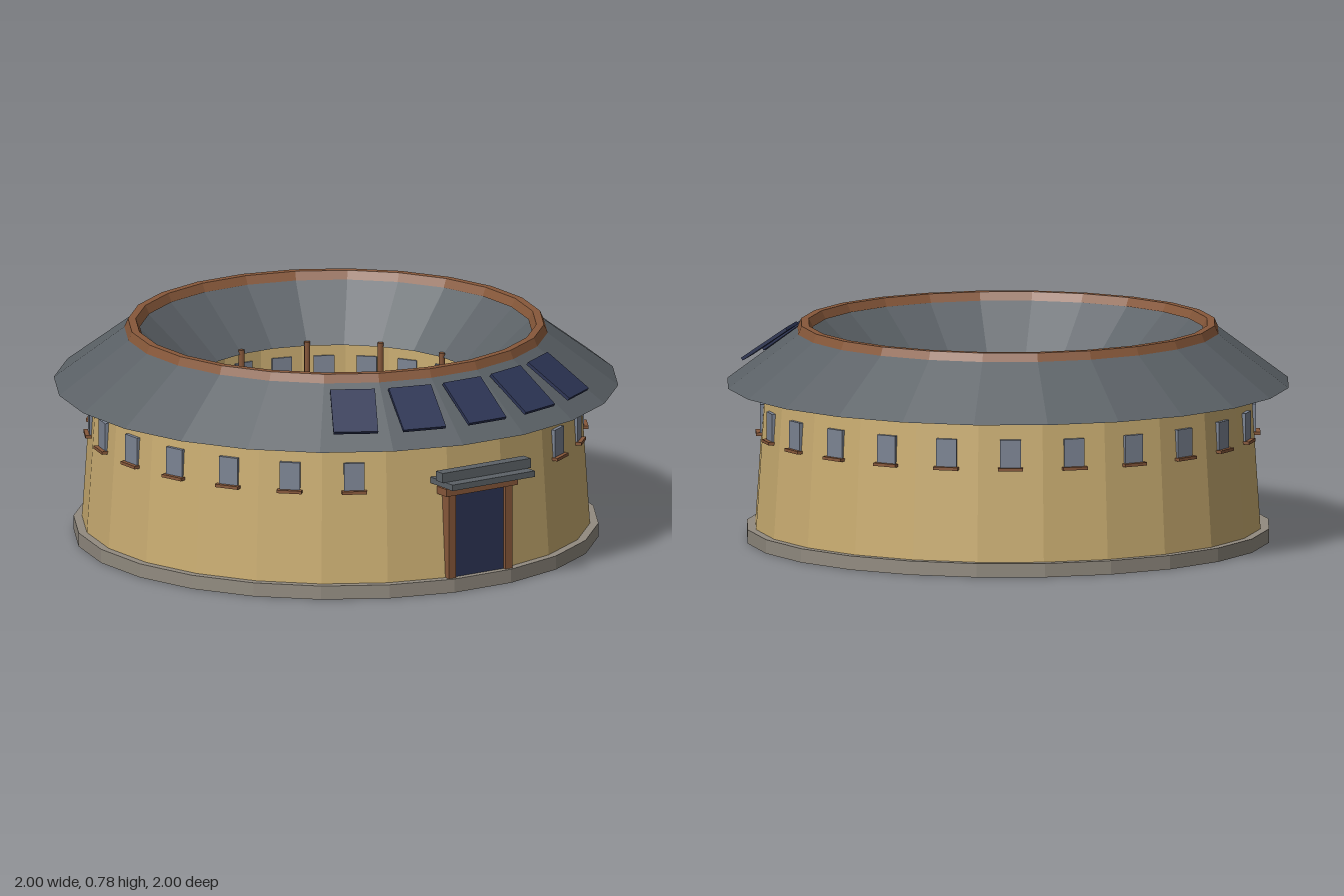
import * as THREE from 'three';

const SIDES = 24;
const STEP = (Math.PI * 2) / SIDES;
const FLAT = 1 / Math.cos(STEP / 2); // turns a flat-to-centre distance into a corner radius

const mat = (name, color) => {
  const m = new THREE.MeshStandardMaterial({ color });
  m.name = name;
  return m;
};

export function createModel() {
  const earth = mat('rammedEarth', 0xcbae72);
  const tile = mat('roofTile', 0x5c6267);
  const wood = mat('wood', 0x87583a);
  const stone = mat('stone', 0x928b80);
  const navy = mat('navy', 0x2c3454);
  const glass = mat('windowGlass', 0x7c8493);

  const model = new THREE.Group();
  model.name = 'roundHouse';

  const add = (name, geometry, material, parent = model) => {
    const mesh = new THREE.Mesh(geometry, material);
    mesh.name = name;
    parent.add(mesh);
    return mesh;
  };

  // Faceted ring from a profile of [flat distance, height], outside going up
  const ring = (name, profile, material) => {
    const pts = profile.map(([r, y]) => new THREE.Vector2(r * FLAT, y));
    const g = new THREE.LatheGeometry(pts, SIDES, STEP / 2).toNonIndexed();
    g.computeVertexNormals();
    return add(name, g, material);
  };

  // Box given by its limits
  const box = (name, x0, x1, y0, y1, z0, z1, material, parent = model) => {
    const mesh = add(name, new THREE.BoxGeometry(x1 - x0, y1 - y0, z1 - z0), material, parent);
    mesh.position.set((x0 + x1) / 2, (y0 + y1) / 2, (z0 + z1) / 2);
    return mesh;
  };

  // Group turned to face outward at an angle from the front
  const spoke = (name, angle) => {
    const g = new THREE.Group();
    g.name = name;
    g.rotation.y = angle;
    model.add(g);
    return g;
  };

  // Plinth with courtyard floor, and the thick ring of rooms
  ring('foundation', [[0, 0], [0.93, 0], [0.93, 0.05], [0, 0.05]], stone);
  ring('ringWall', [[0.9, 0.05], [0.866, 0.57], [0.59, 0.57], [0.59, 0.05]], earth);

  // Gabled ring roof with wooden ridge
  ring('ringRoof', [[0.5, 0.56], [1, 0.56], [0.722, 0.77], [0.5, 0.56]], tile);
  ring('roofRidge', [[0.695, 0.75], [0.75, 0.75], [0.737, 0.78], [0.71, 0.78], [0.695, 0.75]], wood);

  // Courtyard gallery floor
  ring('galleryFloor', [[0.5, 0.288], [0.6, 0.288], [0.6, 0.314], [0.5, 0.314], [0.5, 0.288]], wood);

  // Gallery posts under the inner eave
  for (let i = 0; i < SIDES / 2; i++) {
    const a = STEP / 2 + i * STEP * 2;
    const post = add('galleryPost', new THREE.CylinderGeometry(0.011, 0.011, 0.525, 8), wood);
    post.position.set(Math.sin(a) * 0.506, 0.3125, Math.cos(a) * 0.506);
  }

  // Windows: one outer row clear of the entrance, two rows on the courtyard
  for (let i = 0; i < SIDES; i++) {
    const bay = spoke('windowBay', i * STEP);
    if (i > 1 && i < SIDES - 1) {
      box('outerWindow', -0.037, 0.037, 0.388, 0.488, 0.862, 0.885, glass, bay);
      box('outerSill', -0.045, 0.045, 0.377, 0.388, 0.865, 0.9, wood, bay);
    }
    box('upperCourtWindow', -0.037, 0.037, 0.39, 0.5, 0.583, 0.592, glass, bay);
    box('lowerCourtWindow', -0.037, 0.037, 0.14, 0.25, 0.583, 0.592, glass, bay);
  }

  // Entrance with frame and small canopy
  box('door', -0.11, 0.11, 0.05, 0.36, 0.86, 0.905, navy);
  for (const s of [-1, 1]) {
    box('doorPost', s * 0.122 - 0.015, s * 0.122 + 0.015, 0.05, 0.36, 0.86, 0.918, wood);
  }
  box('doorLintel', -0.155, 0.155, 0.357, 0.384, 0.86, 0.928, wood);
  box('canopySlab', -0.178, 0.178, 0.398, 0.42, 0.86, 1.0, tile);
  box('canopyRidge', -0.19, 0.19, 0.42, 0.455, 0.912, 0.956, tile);

  // Solar panels standing just off the front roof slope
  for (let i = -2; i <= 2; i++) {
    const mount = spoke('solarPanelMount', i * STEP);
    const panel = add('solarPanel', new THREE.BoxGeometry(0.16, 0.012, 0.2), navy, mount);
    panel.position.set(0, 0.678, 0.878);
    panel.rotation.x = 0.61;
  }

  // Small square hall in the courtyard
  box('hallWalls', -0.15, 0.15, 0.05, 0.23, -0.15, 0.15, earth);
  const cone = new THREE.ConeGeometry(0.2 * Math.SQRT2, 0.12, 4, 1, false, Math.PI / 4).toNonIndexed();
  cone.computeVertexNormals();
  add('hallRoof', cone, tile).position.y = 0.28;

  return model;
}
